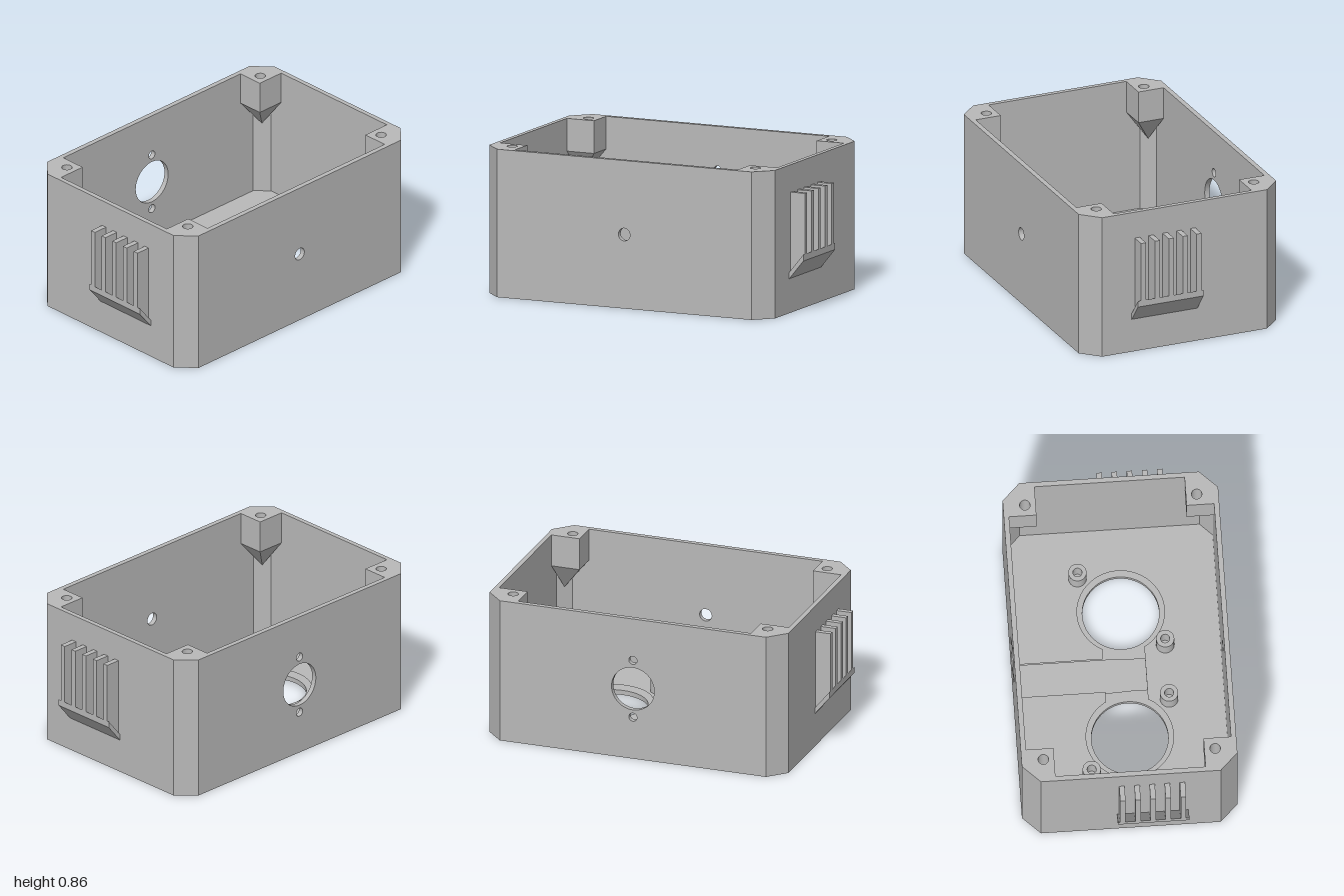
import * as THREE from 'three';
import { ConvexGeometry } from 'three/addons/geometries/ConvexGeometry.js';

const H = 0.86;                       // case height
const OX = 0.91, OZ = 0.617;          // outer half sizes
const IX = 0.882, IZ = 0.587;         // inner half sizes
const CX = 0.81, CZ = 0.515;          // where the corner chamfers begin
const FLOOR = 0.06;
const EYE = 0.38;                     // x of the two floor openings

export function createModel() {
  const model = new THREE.Group();
  const grey = new THREE.MeshStandardMaterial({ color: 0xb8b8b8 });

  const add = (name, geometry) => {
    const mesh = new THREE.Mesh(geometry, grey);
    mesh.name = name;
    model.add(mesh);
    return mesh;
  };
  const poly = (pts) => new THREE.Shape(pts.map(([x, y]) => new THREE.Vector2(x, y)));
  const circle = (x, y, r) => new THREE.Path().absarc(x, y, r, 0, Math.PI * 2, false);
  const extrude = (shape, depth, holes = []) => {
    shape.holes.push(...holes);
    return new THREE.ExtrudeGeometry(shape, { depth, bevelEnabled: false, curveSegments: 40 });
  };
  // horizontal slab: plan coordinates are (x, -z)
  const slab = (name, shape, y0, y1, holes) =>
    add(name, extrude(shape, y1 - y0, holes).rotateX(-Math.PI / 2).translate(0, y0, 0));

  // Front and back walls with their round openings
  const wall = () => poly([[-CX, 0], [CX, 0], [CX, H], [-CX, H]]);
  add('frontWall', extrude(wall(), OZ - IZ, [circle(0, 0.43, 0.037)])).position.z = IZ;
  add('backWall', extrude(wall(), OZ - IZ, [
    circle(0, 0.43, 0.13), circle(0, 0.605, 0.025), circle(0, 0.255, 0.025),
  ])).position.z = -OZ;

  // Side walls including the chamfered corners
  for (const s of [-1, 1]) {
    slab('sideWall', poly([
      [CX, OZ], [OX, CZ], [OX, -CZ], [CX, -OZ],
      [CX, -IZ], [IX, -CZ], [IX, CZ], [CX, IZ],
    ].map(([x, v]) => [x * s, v])), 0, H);
  }

  // Floor, stacked in layers so that each recess has its own depth
  const plan = () => poly([
    [CX, IZ], [IX, CZ], [IX, -CZ], [CX, -IZ],
    [-CX, -IZ], [-IX, -CZ], [-IX, CZ], [-CX, IZ],
  ]);
  const eyes = (r) => [circle(EYE, -0.03, r), circle(-EYE, -0.03, r)];

  // Curved groove under the floor with a round pocket at each end
  const groove = new THREE.Path();
  const R = 0.54, w = 0.011, pocket = 0.024, gy = -0.07, half = 0.61;
  const a0 = Math.PI / 2 - half, a1 = Math.PI / 2 + half, gap = 0.05;
  const ex = R * Math.cos(a0), ey = gy + R * Math.sin(a0);
  groove.absarc(0, gy, R + w, a0 + gap, a1 - gap, false);
  groove.absarc(-ex, ey, pocket, a1 - Math.PI / 2 + 0.5, a1 - Math.PI / 2 - 0.5 + Math.PI * 2, false);
  groove.absarc(0, gy, R - w, a1 - gap, a0 + gap, true);
  groove.absarc(ex, ey, pocket, a0 + Math.PI / 2 + 0.5, a0 + Math.PI / 2 - 0.5 + Math.PI * 2, false);

  // Cable channel running from the back wall to between the openings
  const channel = poly([
    [-0.1, 0.585], [0.1, 0.585], [0.1, -0.005], [0.095, -0.005],
    [0.095, -0.15], [-0.095, -0.15], [-0.095, -0.005], [-0.1, -0.005],
  ]);

  // Seat around both openings, joined by a bridge and the channel
  const seat = new THREE.Path();
  const b = Math.asin(0.12 / 0.25);
  seat.moveTo(-0.1, 0.585);
  seat.lineTo(0.1, 0.585);
  seat.lineTo(0.1, 0.09);
  seat.absarc(EYE, -0.03, 0.25, Math.PI - b, b - Math.PI, true);
  seat.absarc(-EYE, -0.03, 0.25, -b, b, true);
  seat.lineTo(-0.1, 0.09);
  seat.closePath();

  slab('floorUnderside', plan(), 0, 0.012, [...eyes(0.32), groove]);
  slab('floorCore', plan(), 0.012, 0.028, eyes(0.22));
  slab('floorChannelLayer', plan(), 0.028, 0.04, [...eyes(0.22), channel]);
  slab('floorTop', plan(), 0.04, FLOOR, [seat]);

  // Standoffs with blind screw holes
  for (const s of [-1, 1]) {
    for (const [x, z] of [[0.6, -0.203], [0.165, 0.27]]) {
      const disc = new THREE.Shape().absarc(x * s, -z, 0.052, 0, Math.PI * 2, false);
      slab('standoff', disc, FLOOR, 0.16, [circle(x * s, -z, 0.026)]);
    }
  }

  // Corner screw posts, each tapering down into its chamfered corner
  for (const sx of [-1, 1]) {
    for (const sz of [-1, 1]) {
      const pts = [[0.71, 0.43], [IX, 0.43], [IX, CZ], [CX, IZ], [0.71, IZ]]
        .map(([x, z]) => [x * sx, z * sz]);
      slab('cornerPost', poly(pts.map(([x, z]) => [x, -z])), 0.67, H,
        [circle(0.775 * sx, -0.492 * sz, 0.03)]);
      add('cornerPostTaper', new ConvexGeometry([
        ...pts.map(([x, z]) => new THREE.Vector3(x, 0.67, z)),
        new THREE.Vector3(0.846 * sx, 0.5, 0.551 * sz),
      ]));
    }
  }

  // Ribbed side brackets: a sloping shelf carrying five upright fins
  for (const s of [-1, 1]) {
    const side = (pts) => poly(pts.map(([x, y]) => [x * s, y]));
    add('bracketShelf', extrude(
      side([[OX, 0.2], [1, 0.31], [1, 0.347], [OX, 0.237]]), 0.41)).position.z = -0.08;
    for (let i = 0; i < 5; i++) {
      add('bracketFin', extrude(
        side([[OX, 0.237], [1, 0.347], [1, 0.7], [OX, 0.7]]), 0.031)).position.z = -0.067 + i * 0.0867;
    }
  }
  return model;
}
